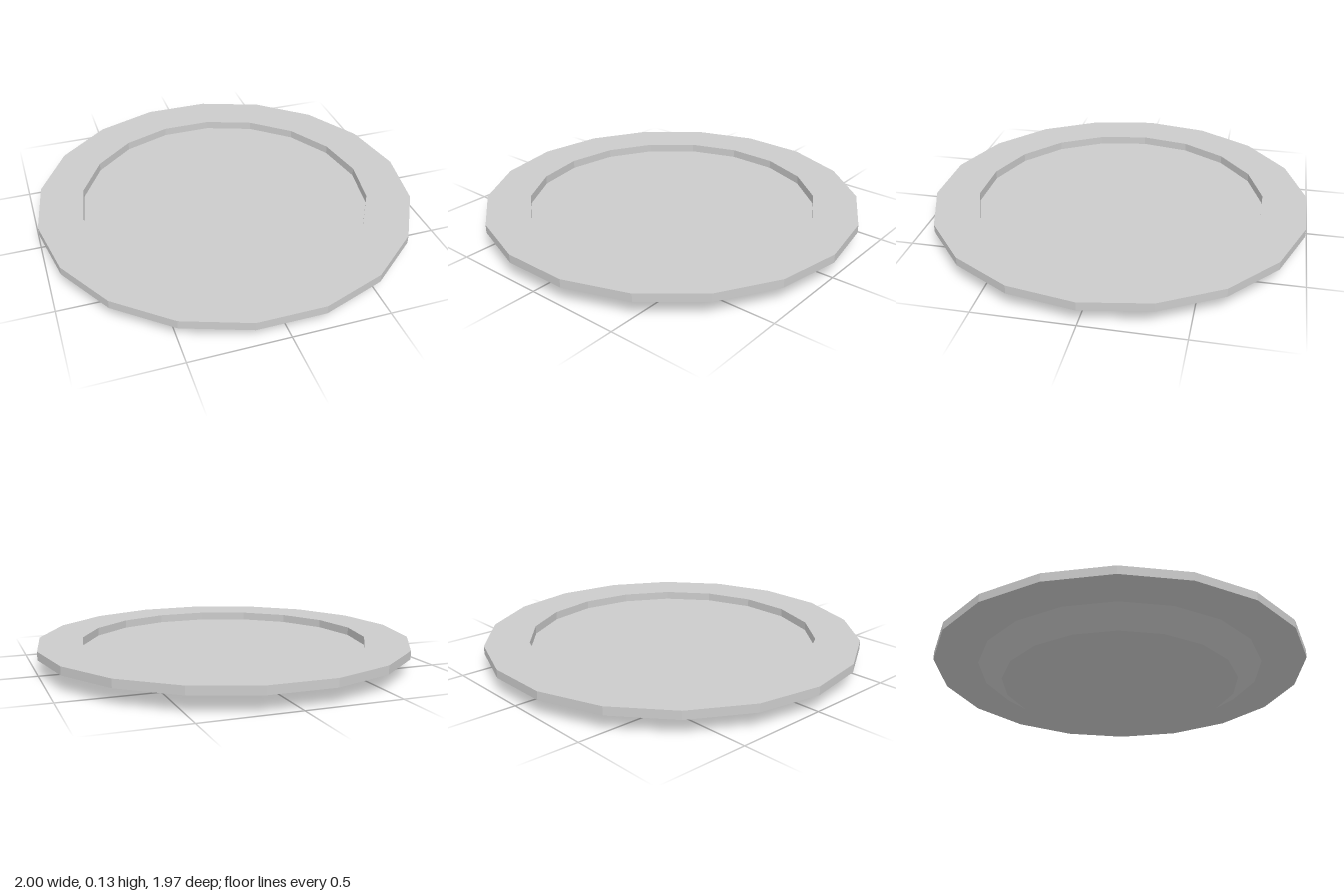
import * as THREE from 'three';

const SIDES = 18;
const START = Math.PI / 2; // puts a corner on the x axis
const RIM_Y = 0.083, TOP_Y = 0.127;
const OUTER_R = 1, WELL_R = 0.766, FOOT_R = 0.637;

export function createModel() {
  const group = new THREE.Group();
  group.name = 'plate';
  const material = new THREE.MeshStandardMaterial({ color: 0xcccccc, flatShading: true });

  // Tapered base; its top face is the floor of the well
  const base = new THREE.Mesh(
    new THREE.CylinderGeometry(WELL_R, FOOT_R, RIM_Y, SIDES, 1, false, START),
    material
  );
  base.name = 'base';
  base.position.y = RIM_Y / 2;
  group.add(base);

  // Flat rim: underside, outer edge, top, inner wall
  const profile = [
    [WELL_R, RIM_Y], [OUTER_R, RIM_Y], [OUTER_R, TOP_Y], [WELL_R, TOP_Y], [WELL_R, RIM_Y],
  ].map(([r, y]) => new THREE.Vector2(r, y));
  const rim = new THREE.Mesh(new THREE.LatheGeometry(profile, SIDES, START), material);
  rim.name = 'rim';
  group.add(rim);

  return group;
}
